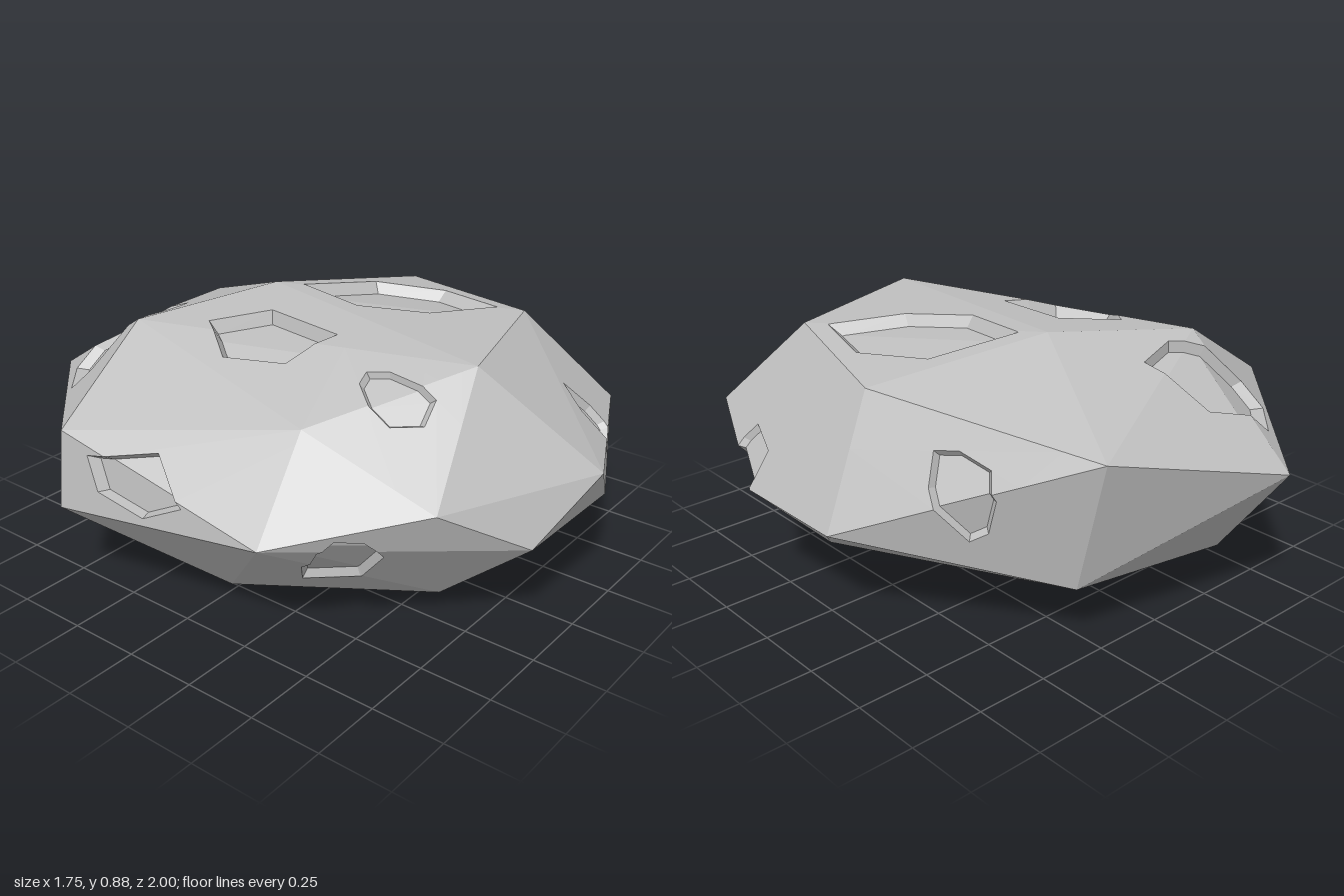
import * as THREE from 'three';
import { ConvexGeometry } from 'three/addons/geometries/ConvexGeometry.js';

// Corners of the faceted boulder
const CORNERS = [
  [-0.315, 0.51, -1], [0.315, 0.67, -0.81], [0.83, 0.35, -0.12], [0.87, 0.385, 0.26],
  [0.66, 0.51, 0.75], [0.12, 0.5, 1], [0.4, 0.27, 0.885], [-0.18, 0.335, 0.93],
  [-0.445, 0.505, 0.75], [-0.805, 0.41, 0.36], [-0.545, 0.7, 0.32], [-0.075, 0.835, 0.64],
  [0.48, 0.82, 0.48], [0.64, 0.785, -0.09], [0.05, 0.88, -0.28], [-0.435, 0.835, -0.48],
  [-0.84, 0.585, -0.435], [-0.875, 0.32, -0.43], [-0.385, 0.11, -0.685], [0.305, 0.205, -0.69],
  [0.045, 0, -0.17], [0.545, 0.06, 0.3], [-0.21, 0.075, 0.62], [-0.58, 0.065, 0.045],
];

// Crater outlines, each drawn on the plane of two axes and cut in from one side
const CRATERS = [
  { name: 'backCrater', axes: 'xz', from: [0, 1, 0], depth: 0.03,
    outline: [[-0.575, -0.69], [-0.435, -0.82], [-0.21, -0.75], [-0.14, -0.53], [-0.3, -0.49], [-0.55, -0.61]] },
  { name: 'topMiddleCrater', axes: 'xz', from: [0, 1, 0], depth: 0.045,
    outline: [[-0.43, -0.1], [-0.31, -0.27], [-0.13, -0.145], [-0.15, 0.15], [-0.355, 0.1]] },
  { name: 'topLargeCrater', axes: 'xz', from: [0, 1, 0], depth: 0.04,
    outline: [[0.105, -0.2], [0.4, -0.1], [0.51, 0.135], [0.44, 0.395], [0.205, 0.27], [0.075, 0.06]] },
  { name: 'topFrontCrater', axes: 'xz', from: [0, 1, 0], depth: 0.02,
    outline: [[-0.37, 0.44], [-0.31, 0.36], [-0.26, 0.35], [-0.225, 0.415], [-0.225, 0.59], [-0.3, 0.6], [-0.37, 0.52]] },
  { name: 'frontLeftCrater', axes: 'xy', from: [0, 0, 1], depth: 0.025,
    outline: [[0.34, 0.66], [0.415, 0.57], [0.43, 0.52], [0.375, 0.4], [0.315, 0.59]] },
  { name: 'frontRightCrater', axes: 'xy', from: [0, 0, 1], depth: 0.025,
    outline: [[-0.645, 0.43], [-0.575, 0.415], [-0.5, 0.34], [-0.475, 0.22], [-0.535, 0.17], [-0.63, 0.285], [-0.665, 0.38]] },
  { name: 'leftFrontCrater', axes: 'zy', from: [1, 0, 0], depth: 0.02,
    outline: [[0.43, 0.525], [0.275, 0.495], [0.27, 0.39], [0.38, 0.3], [0.5, 0.395], [0.475, 0.47]] },
  { name: 'leftBackCrater', axes: 'zy', from: [1, 0, 0], depth: 0.02,
    outline: [[-0.34, 0.64], [-0.41, 0.65], [-0.515, 0.61], [-0.545, 0.52], [-0.51, 0.4], [-0.46, 0.365], [-0.36, 0.535]] },
  { name: 'rightCrater', axes: 'zy', from: [-1, 0, 0], depth: 0.035,
    outline: [[-0.32, 0.53], [-0.08, 0.58], [0.07, 0.46], [-0.08, 0.385], [-0.27, 0.42]] },
];

// Area-weighted normal of a flat polygon
function polygonNormal(poly) {
  const n = new THREE.Vector3();
  for (let i = 1; i < poly.length - 1; i++) {
    const a = poly[i].clone().sub(poly[0]);
    n.add(a.cross(poly[i + 1].clone().sub(poly[0])));
  }
  return n;
}

// Split a polygon by a signed distance into its inner and outer parts
function split(poly, dist) {
  const inner = [], outer = [];
  poly.forEach((p, i) => {
    const q = poly[(i + 1) % poly.length];
    const a = dist(p), b = dist(q);
    if (a >= -1e-7) inner.push(p);
    if (a <= 1e-7) outer.push(p);
    if ((a > 1e-7 && b < -1e-7) || (a < -1e-7 && b > 1e-7)) {
      const cut = p.clone().lerp(q, a / (a - b));
      inner.push(cut);
      outer.push(cut);
    }
  });
  return { inner, outer };
}

// Distance functions for the sides of an outline, positive inside
function sidesOf({ axes, outline }) {
  const [u, v] = axes;
  const turn = Math.sign(THREE.ShapeUtils.area(outline.map(([x, y]) => new THREE.Vector2(x, y))));
  return outline.map(([ax, ay], i) => {
    const [bx, by] = outline[(i + 1) % outline.length];
    const len = Math.hypot(bx - ax, by - ay) * turn;
    return (p) => ((bx - ax) * (p[v] - ay) - (by - ay) * (p[u] - ax)) / len;
  });
}

// Cut one crater: the skin inside the outline is sunk and shrunk, then walled in
function cutCrater(skin, crater) {
  const from = new THREE.Vector3(...crater.from);
  const sides = sidesOf(crater);
  const rest = [], sunk = [];
  for (const poly of skin) {
    if (polygonNormal(poly).normalize().dot(from) < 0.02) { rest.push(poly); continue; }
    let piece = poly;
    const shed = [];
    for (const dist of sides) {
      const { inner, outer } = split(piece, dist);
      if (outer.length > 2) shed.push(outer);
      piece = inner;
      if (piece.length < 3) break;
    }
    if (piece.length > 2 && polygonNormal(piece).length() > 1e-7) {
      sunk.push(piece);
      rest.push(...shed);
    } else rest.push(poly);
  }

  const push = new THREE.Vector3(), centre = new THREE.Vector3();
  let count = 0;
  for (const piece of sunk) {
    push.add(polygonNormal(piece));
    for (const p of piece) { centre.add(p); count++; }
  }
  centre.divideScalar(count);
  push.normalize().multiplyScalar(-crater.depth);
  const sink = (p) => p.clone().sub(centre).multiplyScalar(0.86).add(centre).add(push);

  const walls = [];
  for (const piece of sunk) {
    piece.forEach((p, i) => {
      const q = piece[(i + 1) % piece.length];
      const onRim = sides.some((d) => Math.abs(d(p)) < 1e-5 && Math.abs(d(q)) < 1e-5);
      if (onRim) walls.push([p, q, sink(q), sink(p)]);
    });
  }
  return { rest, floor: sunk.map((piece) => piece.map(sink)), walls };
}

// Flat-shaded mesh from a list of convex polygons
function polygonMesh(name, polys, material) {
  const points = [];
  for (const poly of polys) {
    for (let i = 1; i < poly.length - 1; i++) points.push(poly[0], poly[i], poly[i + 1]);
  }
  const geometry = new THREE.BufferGeometry().setFromPoints(points);
  geometry.computeVertexNormals();
  const mesh = new THREE.Mesh(geometry, material);
  mesh.name = name;
  return mesh;
}

export function createModel() {
  const group = new THREE.Group();
  group.name = 'boulder';
  const stone = new THREE.MeshStandardMaterial({ color: 0xbfbfbf });
  stone.name = 'pale grey stone';

  // Faceted body
  const hull = new ConvexGeometry(CORNERS.map((c) => new THREE.Vector3(...c))).getAttribute('position');
  let skin = [];
  for (let i = 0; i < hull.count; i += 3) {
    skin.push([0, 1, 2].map((k) => new THREE.Vector3().fromBufferAttribute(hull, i + k)));
  }

  // Craters
  for (const crater of CRATERS) {
    const { rest, floor, walls } = cutCrater(skin, crater);
    skin = rest;
    const part = new THREE.Group();
    part.name = crater.name;
    part.add(polygonMesh('craterFloor', floor, stone), polygonMesh('craterWall', walls, stone));
    group.add(part);
  }
  group.add(polygonMesh('rockSurface', skin, stone));
  return group;
}
